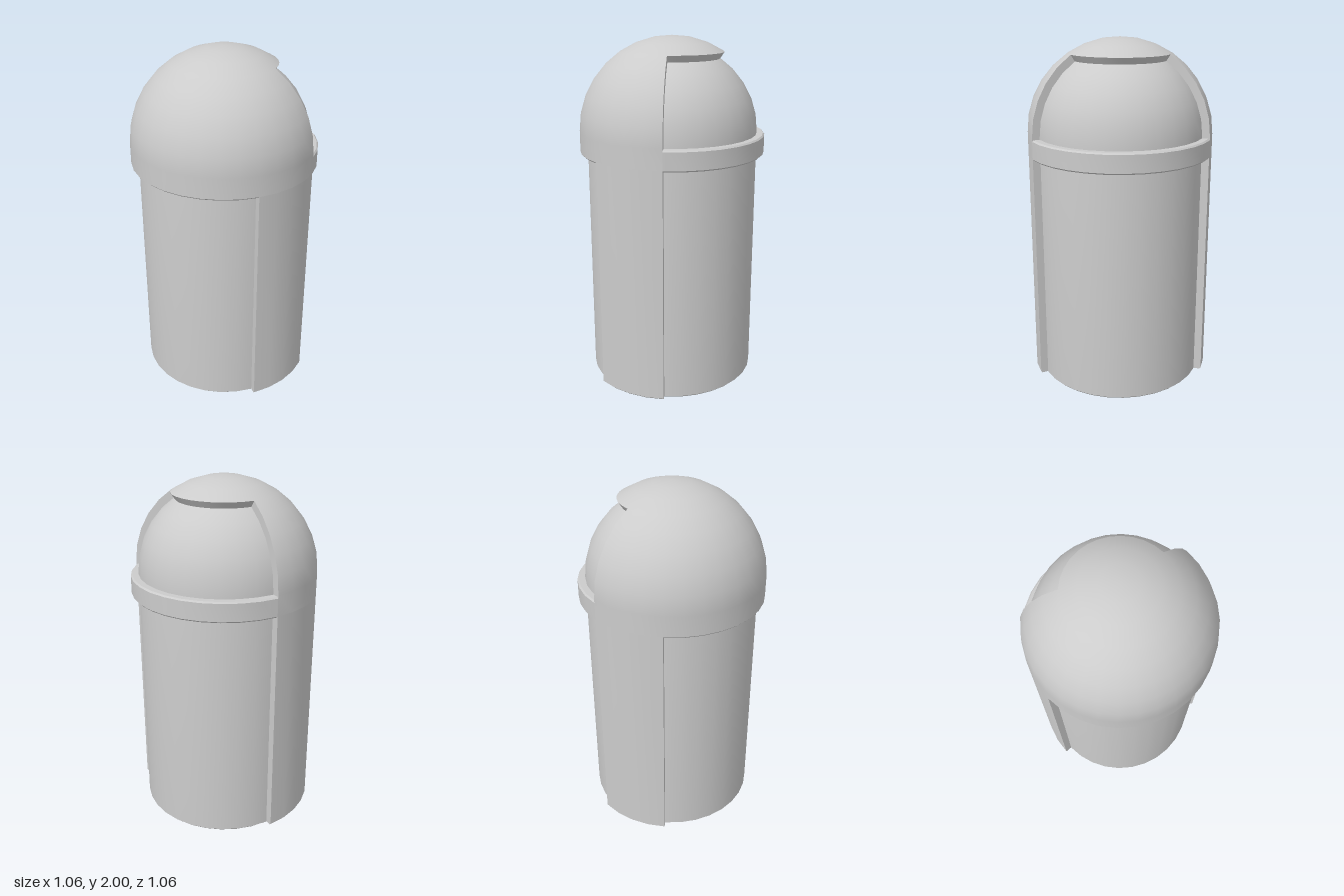
import * as THREE from 'three';
import { mergeGeometries, toCreasedNormals } from 'three/addons/utils/BufferGeometryUtils.js';

const STEP = Math.PI / 16;          // 32 sides around, 8 rows up the dome
const R = 0.53, BODY_R = 0.486, INNER_R = 0.47;
const DOME_Y = 1.47, SKIRT_Y = 1.345, RIM_Y = 1.46, BEVEL = 0.008;

const v = (r, y) => new THREE.Vector2(r, y);

// Points on a dome meridian from row a to row b (row 8 is the pole)
function arc(radius, a, b) {
  const points = [];
  const dir = Math.sign(b - a);
  for (let i = a; i !== b + dir; i += dir) {
    points.push(v(i === 8 ? 0 : radius * Math.cos(i * STEP), DOME_Y + radius * Math.sin(i * STEP)));
  }
  return points;
}

// Revolves a closed counter-clockwise profile through a sector and caps both ends
function sector(profile, firstSide, sides) {
  const start = firstSide * STEP, length = sides * STEP;
  const parts = [new THREE.LatheGeometry([...profile, profile[0].clone()], sides, start, length)];
  for (const end of [false, true]) {
    const cap = new THREE.ShapeGeometry(new THREE.Shape(profile));
    cap.rotateY(start + (end ? length : 0) - Math.PI / 2);
    if (end) cap.index.array.reverse();
    parts.push(cap);
  }
  return mergeGeometries(parts);
}

// Creases hard edges, then gives the outer dome true spherical normals so its parts blend
function finish(geometry) {
  const g = toCreasedNormals(geometry, Math.PI / 7);
  const p = new THREE.Vector3(), n = new THREE.Vector3();
  const { position, normal } = g.attributes;
  for (let i = 0; i < position.count; i++) {
    p.fromBufferAttribute(position, i);
    n.fromBufferAttribute(normal, i);
    p.y -= DOME_Y;
    if (p.y < -1e-4 || Math.abs(p.length() - R) > 1e-3) continue;
    p.normalize();
    if (p.dot(n) > 0.9) normal.setXYZ(i, p.x, p.y, p.z);
  }
  return g;
}

export function createModel() {
  const group = new THREE.Group();
  const material = new THREE.MeshStandardMaterial({ color: 0xcccccc });
  const add = (name, geometry) => {
    const mesh = new THREE.Mesh(finish(geometry), material);
    mesh.name = name;
    group.add(mesh);
  };

  // Inner cylinder with a domed top and bevelled foot
  add('innerBody', new THREE.LatheGeometry([
    v(0, 0), v(BODY_R - 0.01, 0), v(BODY_R, 0.01), ...arc(BODY_R, 0, 8),
  ], 32));

  // Crown overhanging the opening
  add('crown', new THREE.LatheGeometry([
    v(INNER_R * Math.cos(5 * STEP), DOME_Y + INNER_R * Math.sin(5 * STEP)),
    ...arc(R, 5, 8),
  ], 32));

  // Hood wrapping the closed side of the dome, down to the skirt
  add('hood', sector([
    v(INNER_R, SKIRT_Y), v(R - BEVEL, SKIRT_Y), v(R, SKIRT_Y + BEVEL),
    ...arc(R, 0, 5), ...arc(INNER_R, 5, 0),
  ], 14, 20));

  // Rim crossing below the opening
  add('openingRim', sector([
    v(INNER_R, SKIRT_Y), v(R - BEVEL, SKIRT_Y), v(R, SKIRT_Y + BEVEL),
    v(R, RIM_Y - BEVEL), v(R - BEVEL, RIM_Y), v(INNER_R, RIM_Y),
  ], 2, 12));

  // Side panels running from the skirt to the ground, front and back
  for (const [name, side] of [['frontPanel', -2], ['backPanel', 14]]) {
    add(name, sector([
      v(INNER_R, 0.012), v(R - BEVEL, 0.012), v(R, 0.012 + BEVEL),
      v(R, SKIRT_Y + BEVEL), v(INNER_R, SKIRT_Y + BEVEL),
    ], side, 4));
  }
  return group;
}
